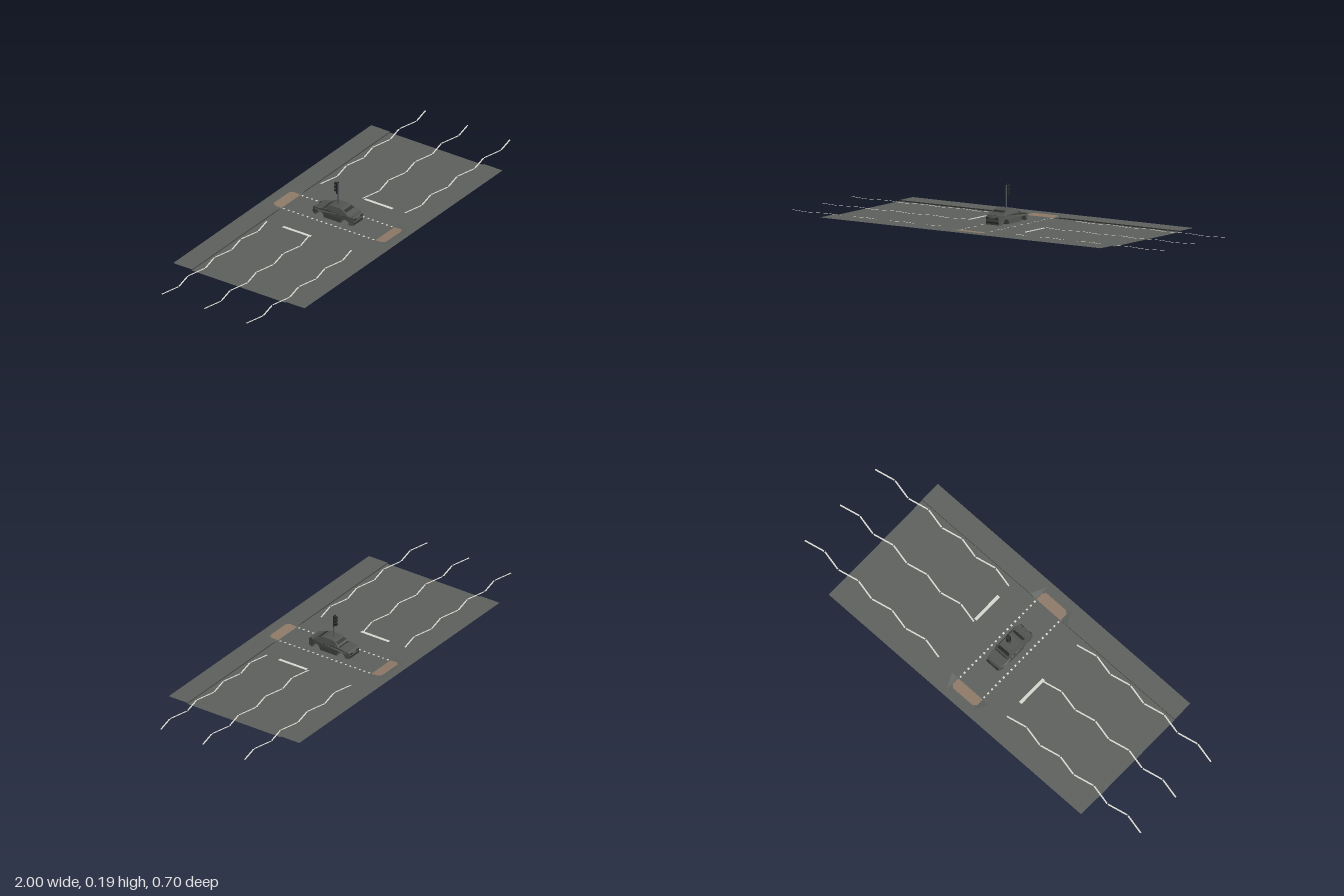
import * as THREE from 'three';

const mat = (name, color, side = THREE.FrontSide) => {
  const m = new THREE.MeshStandardMaterial({ color, side });
  m.name = name;
  return m;
};
const asphalt = mat('asphalt', 0x5c5f5b, THREE.DoubleSide);
const kerbGrey = mat('kerb grey', 0x414341, THREE.DoubleSide);
const white = mat('road paint', 0xd6d6cf, THREE.DoubleSide);
const tan = mat('tactile tan', 0x8d7866, THREE.DoubleSide);
const paint = mat('car grey', 0x50534f);
const dark = mat('dark trim', 0x2b2d2d);
const steel = mat('pole steel', 0x565b60);

const ROAD = 0.0138, PATH = 0.019, PAINT = 0.0146;

function add(parent, name, geometry, material, x = 0, y = 0, z = 0) {
  const mesh = new THREE.Mesh(geometry, material);
  mesh.name = name;
  mesh.position.set(x, y, z);
  parent.add(mesh);
  return mesh;
}
const box = (w, h, d) => new THREE.BoxGeometry(w, h, d);
const flat = (w, d) => new THREE.PlaneGeometry(w, d).rotateX(-Math.PI / 2);

// Flat convex polygon from 3D corners
function poly(points) {
  const g = new THREE.BufferGeometry();
  const v = [];
  for (let i = 1; i < points.length - 1; i++) v.push(...points[0], ...points[i], ...points[i + 1]);
  g.setAttribute('position', new THREE.Float32BufferAttribute(v, 3));
  g.computeVertexNormals();
  return g;
}

// Pavement with a dropped kerb; s = +1 front side, -1 back side
function pavement(s) {
  const g = new THREE.Group();
  g.name = s > 0 ? 'frontPavement' : 'backPavement';
  const P = (pts, m, n) =>
    add(g, n, poly((s > 0 ? pts : [...pts].reverse()).map(([x, y, z]) => [x, y, z * s])), m);
  const a = 0.075, b = 0.11;
  P([[-b, PATH, 0.32], [-b, PATH, 0.35], [b, PATH, 0.35], [b, PATH, 0.32]], asphalt, 'pavementBack');
  P([[-a, ROAD, 0.25], [-a, PATH, 0.32], [a, PATH, 0.32], [a, ROAD, 0.25]].reverse(), asphalt, 'ramp');
  for (const k of [1, -1]) {
    const Q = (pts, m, n) => P((k > 0 ? pts : [...pts].reverse()).map(([x, y, z]) => [x * k, y, z]), m, n);
    Q([[b, PATH, 0.25], [b, PATH, 0.35], [0.75, PATH, 0.35], [0.75, PATH, 0.25]], asphalt, 'pavementSlab');
    Q([[a, ROAD, 0.25], [a, PATH, 0.32], [b, PATH, 0.25]], asphalt, 'rampWing');
    Q([[b, PATH, 0.25], [a, PATH, 0.32], [b, PATH, 0.32]], asphalt, 'pavementCorner');
    Q([[a, ROAD, 0.25], [b, PATH, 0.25], [0.75, PATH, 0.25], [0.75, ROAD, 0.25]], kerbGrey, 'kerbFace');
  }
  // Tactile paving lying on the ramp, outer corners cut
  const up = (z) => ROAD + 0.0007 + (z - 0.25) / 0.07 * (PATH - ROAD);
  P([[-0.072, 0.25], [-0.072, 0.287], [-0.058, 0.3], [0.058, 0.3], [0.072, 0.287], [0.072, 0.25]]
    .map(([x, z]) => [x, up(z), z]), tan, 'tactilePaving');
  return g;
}

// Side profile (z, y) extruded across the car
function slab(shape, width) {
  const g = new THREE.ExtrudeGeometry(shape, { depth: width, bevelEnabled: false, curveSegments: 10 });
  return g.rotateY(-Math.PI / 2).translate(width / 2, 0, 0);
}
function reshape(g, rule) {
  const p = g.attributes.position;
  for (let i = 0; i < p.count; i++) p.setX(i, p.getX(i) * rule(p.getY(i), p.getZ(i)));
  g.computeVertexNormals();
  return g;
}

function car() {
  const g = new THREE.Group();
  g.name = 'car';
  // Lower body with wheel arches; the bonnet points to -z
  const s = new THREE.Shape();
  s.moveTo(-0.108, 0.023);
  s.lineTo(-0.087, 0.023);
  s.absarc(-0.066, 0.025, 0.021, Math.PI, 0, true);
  s.lineTo(-0.045, 0.023);
  s.lineTo(0.045, 0.023);
  s.absarc(0.066, 0.025, 0.021, Math.PI, 0, true);
  s.lineTo(0.087, 0.023);
  for (const [z, y] of [[0.108, 0.023], [0.11, 0.04], [0.109, 0.053], [0.104, 0.061], [0.085, 0.064],
    [0.05, 0.064], [0, 0.063], [-0.047, 0.063], [-0.075, 0.058], [-0.1, 0.053], [-0.107, 0.048], [-0.11, 0.038]])
    s.lineTo(z, y);
  s.closePath();
  add(g, 'body', reshape(slab(s, 0.088),
    (y, z) => (1 - 0.22 * Math.pow(Math.abs(z) / 0.11, 6)) * (y > 0.05 ? 0.96 : 1)), paint);

  // Cabin narrowing towards the roof
  const c = new THREE.Shape([[0.088, 0.063], [0.066, 0.073], [0.05, 0.081], [0.035, 0.085], [-0.015, 0.085],
    [-0.03, 0.081], [-0.042, 0.071], [-0.053, 0.061]].map(([z, y]) => new THREE.Vector2(z, y)));
  const narrow = (y) => 1 - Math.max(0, y - 0.063) * 11;
  add(g, 'cabin', reshape(slab(c, 0.084), narrow), paint);

  // Glass plates on the slopes
  const glass = (name, z1, y1, z2, y2, f) => {
    const w1 = 0.036 * narrow(y1), w2 = 0.036 * narrow(y2), e = 0.0007;
    const pts = [[-w1, y1 + e, z1 + f * e], [w1, y1 + e, z1 + f * e], [w2, y2 + e, z2 + f * e], [-w2, y2 + e, z2 + f * e]];
    add(g, name, poly(f > 0 ? pts : pts.reverse()), dark);
  };
  glass('windscreen', -0.0425, 0.0705, -0.031, 0.08, -1);
  glass('rearWindow', 0.065, 0.0735, 0.051, 0.0805, 1);

  // Bumpers, lamps, mirrors, handles and wiper cowl
  for (const k of [1, -1]) {
    add(g, k > 0 ? 'rearBumper' : 'frontBumper', box(0.066, 0.006, 0.004), dark, 0, 0.033, k * 0.1095);
    for (const m of [1, -1]) {
      add(g, 'lamp', box(0.016, 0.006, 0.003), dark, m * 0.024, k > 0 ? 0.052 : 0.045, k * 0.1092);
      add(g, 'doorHandle', box(0.0015, 0.0015, 0.008), dark, m * 0.0426, 0.0592, k > 0 ? 0.024 : -0.012);
    }
  }
  for (const m of [1, -1]) add(g, 'mirror', box(0.01, 0.006, 0.005), paint, m * 0.043, 0.066, -0.036);
  add(g, 'cowl', box(0.066, 0.001, 0.006), dark, 0, 0.0635, -0.052);
  add(g, 'bootLip', box(0.06, 0.002, 0.006), paint, 0, 0.0635, 0.1);
  add(g, 'wheel', new THREE.CylinderGeometry(0.0115, 0.0115, 0.012, 20).rotateZ(Math.PI / 2), dark, 0, 0.0115, 0);
  return g;
}

// Signal on a pole, lamps facing -z
function signal() {
  const g = new THREE.Group();
  g.name = 'trafficSignal';
  add(g, 'pole', new THREE.CylinderGeometry(0.0035, 0.0035, 0.171, 10), steel, 0, 0.0995, 0.003);
  add(g, 'backPlate', box(0.018, 0.054, 0.003), dark, 0, 0.164, -0.001);
  for (const y of [0.183, 0.167, 0.15]) {
    add(g, 'lampBox', box(0.012, 0.008, 0.006), dark, 0, y - 0.001, -0.005);
    add(g, 'lampHood', box(0.013, 0.008, 0.01), dark, 0, y, -0.012);
  }
  return g;
}

export function createModel() {
  const model = new THREE.Group();
  model.name = 'pedestrianCrossing';
  add(model, 'road', flat(1.5, 0.5), asphalt, 0, ROAD, 0);
  model.add(pavement(1), pavement(-1));

  // Zigzag lines running out past the road ends
  for (const row of [-0.225, 0, 0.225])
    for (const k of [1, -1])
      for (let i = 2; i < 10; i++) {
        const rise = i % 2 ? -0.022 : 0.022;
        const m = add(model, 'zigzagLine', flat(0.098, 0.007), white, k * (i + 0.5) * 0.1, PAINT, row);
        m.rotation.y = -k * Math.atan2(rise, 0.1);
      }

  // Stop lines and crossing studs
  for (const k of [1, -1]) {
    add(model, 'stopLine', flat(0.015, 0.15), white, k * 0.203, PAINT, k * 0.075);
    for (let i = 0; i < 20; i++)
      add(model, 'stud', flat(0.009, 0.009), white, k * 0.07, PAINT, -0.2375 + i * 0.025);
  }

  model.add(car(), signal());
  return model;
}
